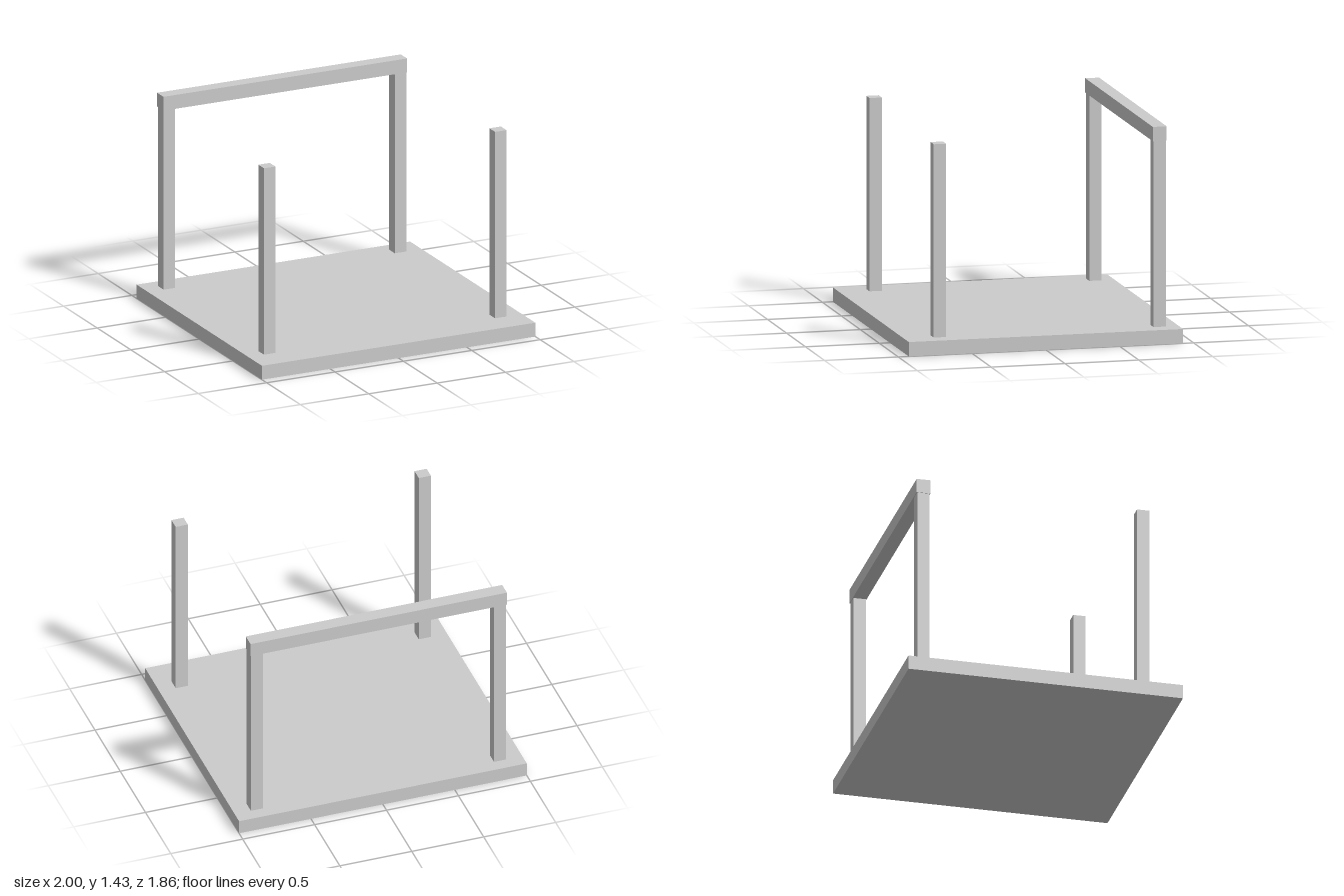
import * as THREE from 'three';

export function createModel() {
  const group = new THREE.Group();
  const material = new THREE.MeshStandardMaterial({ color: 0xcccccc, flatShading: true });

  // Box centred on x and z, standing on the height "bottom"
  function addBox(name, width, height, depth, x, bottom, z) {
    const mesh = new THREE.Mesh(new THREE.BoxGeometry(width, height, depth), material);
    mesh.name = name;
    mesh.position.set(x, bottom + height / 2, z);
    group.add(mesh);
  }

  const baseTop = 0.096;
  const postTop = 1.386;
  const postSize = 0.084;
  const backZ = -0.799;

  // Floor slab
  addBox('base', 2, baseTop, 1.858, 0, 0, 0);

  // Four upright posts
  for (const [side, x] of [['Left', 0.845], ['Right', -0.845]]) {
    for (const [end, z] of [['front', 0.689], ['back', backZ]]) {
      addBox(`${end}${side}Post`, postSize, postTop - baseTop, postSize, x, baseTop, z);
    }
  }

  // Crossbar capping the back posts
  addBox('backCrossbar', 1.782, 0.096, 0.094, 0, 1.337, backZ);

  return group;
}
